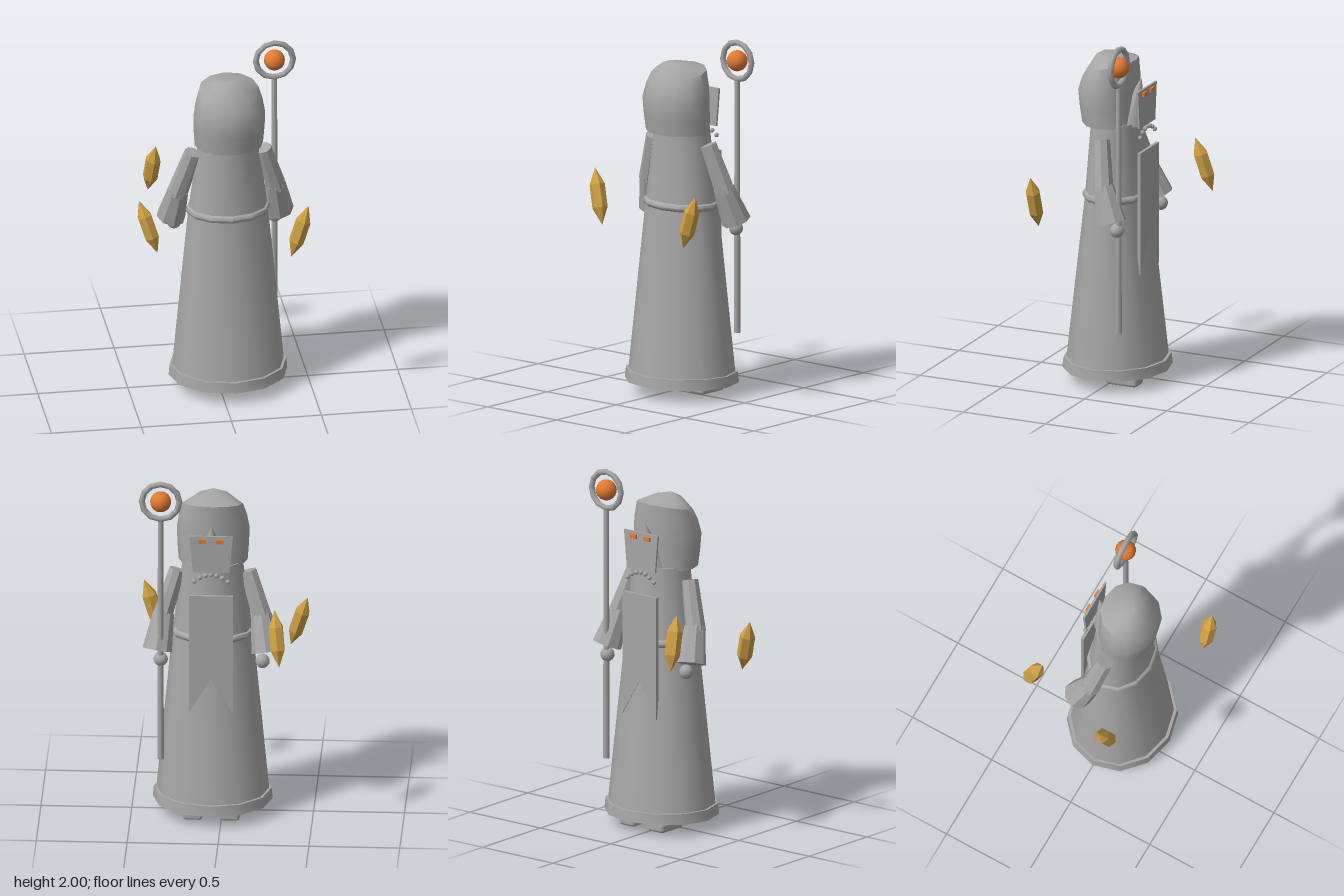
import * as THREE from 'three';
import { toCreasedNormals } from 'three/addons/utils/BufferGeometryUtils.js';
import { RoundedBoxGeometry } from 'three/addons/geometries/RoundedBoxGeometry.js';

const CX = 0.055; // the figure stands a little off centre

const make = (name, color) => {
  const m = new THREE.MeshStandardMaterial({ color });
  m.name = name;
  return m;
};

// Closed skin through elliptical rings [y, rx, rz, cz, tilt], bottom to top
function loft(rings, sides = 12, crease = 0.75) {
  const pos = [], index = [];
  rings.forEach(([y, rx, rz, cz, tilt = 0]) => {
    for (let j = 0; j < sides; j++) {
      const t = (j / sides) * Math.PI * 2;
      const z = Math.cos(t) * rz;
      pos.push(Math.sin(t) * rx, y - tilt * z, cz + z);
    }
  });
  for (let i = 0; i < rings.length - 1; i++) {
    for (let j = 0; j < sides; j++) {
      const k = (j + 1) % sides;
      const a = i * sides + j, b = i * sides + k;
      index.push(a, b, a + sides, b, b + sides, a + sides);
    }
  }
  const g = new THREE.BufferGeometry();
  g.setAttribute('position', new THREE.Float32BufferAttribute(pos, 3));
  g.setIndex(index);
  return toCreasedNormals(g, crease);
}

// Flat-sided tapered tube between two points
function limb(from, to, rFrom, rTo, sides = 8) {
  const a = new THREE.Vector3(...from), b = new THREE.Vector3(...to);
  const dir = b.clone().sub(a);
  const g = new THREE.CylinderGeometry(rTo, rFrom, dir.length(), sides);
  const q = new THREE.Quaternion().setFromUnitVectors(new THREE.Vector3(0, 1, 0), dir.normalize());
  g.applyQuaternion(q);
  g.translate(...a.add(b).multiplyScalar(0.5).toArray());
  return toCreasedNormals(g, 0.3);
}

// Thin upright plate from an outline
function plate(points, depth) {
  const shape = new THREE.Shape(points.map(([x, y]) => new THREE.Vector2(x, y)));
  return new THREE.ExtrudeGeometry(shape, { depth, bevelEnabled: false });
}

export function createModel() {
  const group = new THREE.Group();
  const grey = make('grey cloth', 0xa6a6a6);
  const orange = make('orange glow', 0xe07a30);
  const gold = make('gold crystal', 0xcfa044);

  const add = (name, geometry, material, x = 0, y = 0, z = 0) => {
    const mesh = new THREE.Mesh(geometry, material);
    mesh.name = name;
    mesh.position.set(x, y, z);
    group.add(mesh);
    return mesh;
  };

  // Robe with hem and belt
  add('robe', loft([
    [0.08, 0.001, 0.001, 0.01], [0.08, 0.315, 0.28, 0.01],
    [1.06, 0.222, 0.168, 0.01], [1.49, 0.165, 0.14, 0.01], [1.49, 0.001, 0.001, 0.01],
  ]), grey, CX);
  add('hem', loft([
    [0.07, 0.001, 0.001, 0.01], [0.07, 0.33, 0.298, 0.01],
    [0.13, 0.324, 0.291, 0.01], [0.13, 0.305, 0.27, 0.01],
  ]), grey, CX);
  add('belt', loft([
    [1.045, 0.215, 0.162, 0.01], [1.055, 0.23, 0.178, 0.01], [1.07, 0.235, 0.184, 0.01],
    [1.085, 0.23, 0.178, 0.01], [1.095, 0.21, 0.158, 0.01],
  ]), grey, CX);

  // Hood with a sloping crown, and the pointed face under it
  add('hood', loft([
    [1.475, 0.001, 0.001, 0.045], [1.475, 0.19, 0.155, 0.045],
    [1.57, 0.197, 0.161, 0.054], [1.66, 0.2, 0.164, 0.06],
    [1.74, 0.187, 0.152, 0.047], [1.81, 0.165, 0.137, 0.037, 0.22],
    [1.855, 0.085, 0.07, 0.065, 0.1], [1.874, 0.001, 0.001, 0.09],
  ]), grey, CX);
  add('face', loft([
    [1.475, 0.001, 0.001, -0.06], [1.475, 0.1, 0.095, -0.06], [1.74, 0.001, 0.001, -0.135],
  ], 10), grey, CX);

  // Mask, eyes, bead row and hanging panel on the -z side
  add('mask', plate([[-0.1, 1.48], [0.1, 1.48], [0.12, 1.695], [-0.12, 1.695]], 0.012),
    grey, CX, 0, -0.172);
  for (const s of [-1, 1]) {
    add('eye', new THREE.BoxGeometry(0.042, 0.024, 0.014), orange, CX + s * 0.048, 1.668, -0.178);
  }
  for (let i = -3; i <= 3; i++) {
    add('bead', new THREE.SphereGeometry(0.013, 8, 6), grey,
      CX + i * 0.031, 1.468 - 0.0045 * i * i, -0.172);
  }
  add('hangingPanel', plate([
    [-0.12, 1.345], [-0.12, 0.65], [0, 0.85], [0.12, 0.65], [0.12, 1.345],
  ], 0.018), grey, CX, 0, -0.185);

  // Sleeves, hands and feet, mirrored about the body
  for (const s of [-1, 1]) {
    add('upperSleeve', limb([s * 0.195, 1.42, 0.015], [s * 0.278, 1.15, -0.035], 0.047, 0.058), grey, CX);
    add('lowerSleeve', limb([s * 0.268, 1.18, -0.03], [s * 0.3, 0.985, -0.1], 0.058, 0.082), grey, CX);
    add('hand', new THREE.SphereGeometry(0.04, 12, 8), grey, CX + s * 0.28, 0.94, -0.12);
    add('foot', new RoundedBoxGeometry(0.108, 0.056, 0.19, 1, 0.018), grey, CX + s * 0.102, 0.028, -0.08);
  }

  // Staff with ring and glowing orb
  add('staff', new THREE.CylinderGeometry(0.015, 0.018, 1.44, 8), grey, 0.335, 1.07, -0.13);
  add('staffRing', new THREE.TorusGeometry(0.104, 0.017, 6, 12), grey, 0.335, 1.88, -0.13);
  add('orb', new THREE.SphereGeometry(0.058, 16, 12), orange, 0.335, 1.88, -0.13);

  // Floating crystals: centre, then direction from lower to upper tip
  const crystal = toCreasedNormals(new THREE.LatheGeometry(
    [[0, -0.16], [0.043, -0.065], [0.043, 0.065], [0, 0.16]].map((p) => new THREE.Vector2(...p)), 6), 0.2);
  for (const [center, dir] of [
    [[-0.412, 1.06, 0.17], [-0.095, 0.3, -0.05]],
    [[-0.315, 1.165, -0.34], [0.03, 0.3, 0.09]],
    [[0.403, 1.06, 0.35], [0.095, 0.3, 0.005]],
  ]) {
    add('crystal', crystal, gold, ...center).quaternion.setFromUnitVectors(
      new THREE.Vector3(0, 1, 0), new THREE.Vector3(...dir).normalize());
  }
  return group;
}
